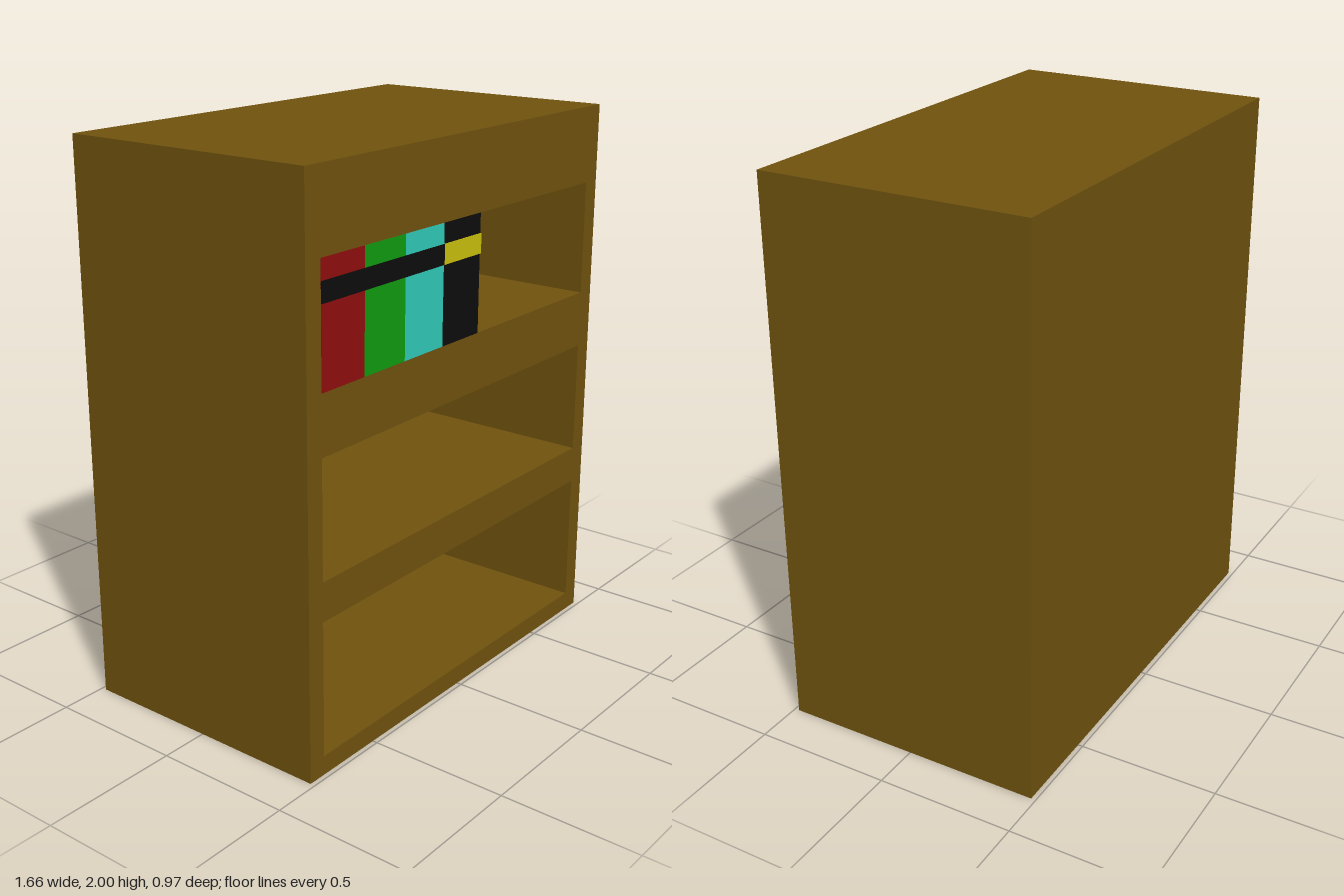
import * as THREE from 'three';

const U = 2 / 29; // modular unit: cabinet is 24 x 29 x 14 units

function paint(name, color) {
  const m = new THREE.MeshStandardMaterial({ color });
  m.name = name;
  return m;
}

// Box from min and max corners
function box(name, material, [x0, y0, z0], [x1, y1, z1]) {
  const mesh = new THREE.Mesh(new THREE.BoxGeometry(x1 - x0, y1 - y0, z1 - z0), material);
  mesh.position.set((x0 + x1) / 2, (y0 + y1) / 2, (z0 + z1) / 2);
  mesh.name = name;
  return mesh;
}

function rect(path, x0, y0, x1, y1) {
  return path.moveTo(x0, y0).lineTo(x1, y0).lineTo(x1, y1).lineTo(x0, y1).closePath();
}

export function createModel() {
  const wood = paint('brown wood', 0x6f520e);
  const red = paint('red cover', 0x900e0e);
  const green = paint('green cover', 0x0f9b0f);
  const teal = paint('teal cover', 0x30c9b8);
  const black = paint('black cover', 0x0d0d0d);
  const yellow = paint('yellow band', 0xcac00e);

  const group = new THREE.Group();
  group.name = 'bookcase';
  const halfW = 12 * U, front = 7 * U, inner = -5 * U;

  // Frame with three open compartments
  const outline = new THREE.Shape();
  rect(outline, -halfW, 0, halfW, 29 * U);
  for (const [low, high] of [[1, 8], [10, 16], [19, 25]]) {
    const hole = new THREE.Path();
    rect(hole, -11 * U, low * U, 11 * U, high * U);
    outline.holes.push(hole);
  }
  const frame = new THREE.Mesh(
    new THREE.ExtrudeGeometry(outline, { depth: front - inner, bevelEnabled: false }), wood);
  frame.position.z = inner;
  frame.name = 'shelfFrame';
  group.add(frame);

  // Back panel closes the compartments
  group.add(box('backPanel', wood, [-halfW, 0, -front], [halfW, 29 * U, inner]));

  // Row of books on the top shelf, each with a band across the spine
  const books = new THREE.Group();
  books.name = 'books';
  [[red, black], [green, black], [teal, black], [black, yellow]].forEach(([cover, band], i) => {
    const x0 = (-11 + 3 * i) * U, x1 = x0 + 3 * U;
    const lip = i === 3 ? 0.003 : 0;
    books.add(box('book' + (i + 1), cover,
      [x0, 19 * U, front - 4 * U], [x1, 25 * U, front + 0.001]));
    books.add(box('spineBand' + (i + 1), band,
      [x0, 23 * U, front - U], [x1 + lip, 24 * U, front + 0.004]));
  });
  group.add(books);
  return group;
}
